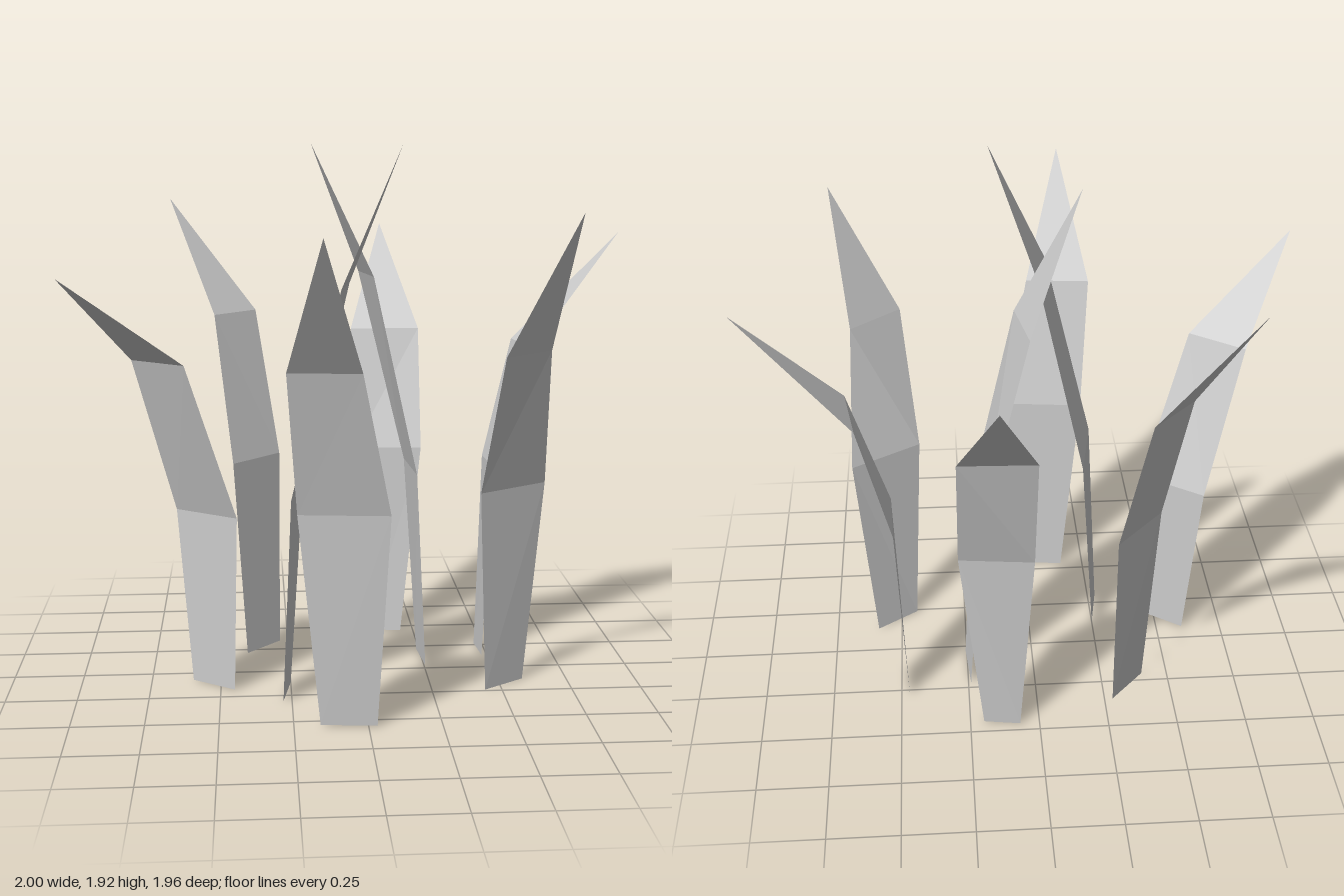
import * as THREE from 'three';

const material = new THREE.MeshStandardMaterial({
  color: 0xcccccc, flatShading: true, side: THREE.DoubleSide,
});

// A bent leaf: two edges rise through base, belly and shoulder, then meet in a tip.
// Each station is [x, z of one edge, x, z of the other edge] at the matching height.
function blade(heights, base, belly, shoulder, tip) {
  const position = [];
  [base, belly, shoulder].forEach(([ax, az, bx, bz], i) => {
    const y = heights[i];
    position.push(ax, y, az, bx, y, bz);
  });
  position.push(tip[0], heights[3], tip[1]);

  const index = [];
  for (let i = 0; i < 2; i++) {
    const a = i * 2;
    index.push(a, a + 1, a + 3, a, a + 3, a + 2);
  }
  index.push(4, 5, 6);

  const geometry = new THREE.BufferGeometry();
  geometry.setAttribute('position', new THREE.Float32BufferAttribute(position, 3));
  geometry.setIndex(index);
  const flat = geometry.toNonIndexed();
  flat.computeVertexNormals();
  return new THREE.Mesh(flat, material);
}

export function createModel() {
  const group = new THREE.Group();
  group.name = 'grassTuft';

  const blades = {
    frontBlade: blade([0, 0.735, 1.22, 1.66],
      [-0.16, 0.535, 0.03, 0.555], [-0.235, 0.57, 0.07, 0.605], [-0.27, 0.69, -0.03, 0.715], [-0.165, 0.98]),
    backBlade: blade([0, 0.735, 1.19, 1.58],
      [0.07, -0.465, 0.20, -0.445], [0.02, -0.505, 0.28, -0.475], [0.015, -0.62, 0.28, -0.61], [0.155, -0.98]),
    leftBackBlade: blade([0, 0.735, 1.18, 1.585],
      [0.47, -0.27, 0.48, -0.13], [0.50, -0.325, 0.51, -0.07], [0.61, -0.36, 0.65, -0.10], [0.995, -0.29]),
    leftFrontBlade: blade([0, 0.735, 1.23, 1.705],
      [0.44, 0.24, 0.59, 0.135], [0.405, 0.31, 0.655, 0.15], [0.46, 0.47, 0.64, 0.31], [0.70, 0.51]),
    innerFrontBlade: blade([0, 0.735, 1.45, 1.92],
      [-0.25, 0.12, -0.28, 0.305], [-0.20, 0.085, -0.25, 0.38], [-0.04, 0.18, -0.08, 0.40], [0.13, 0.315]),
    innerBackBlade: blade([0, 0.735, 1.45, 1.92],
      [0.24, -0.22, 0.255, -0.03], [0.195, -0.285, 0.215, 0.015], [0.02, -0.265, 0.06, -0.025], [-0.16, -0.12]),
    rightBackBlade: blade([0, 0.735, 1.275, 1.70],
      [-0.28, -0.35, -0.405, -0.21], [-0.275, -0.42, -0.45, -0.225], [-0.36, -0.555, -0.515, -0.39], [-0.685, -0.64]),
    rightFrontBlade: blade([0, 0.63, 1.185, 1.50],
      [-0.60, 0.07, -0.45, 0.18], [-0.65, 0.035, -0.435, 0.19], [-0.79, 0.14, -0.605, 0.285], [-1.0, 0.485]),
  };

  for (const [name, mesh] of Object.entries(blades)) {
    mesh.name = name;
    group.add(mesh);
  }
  return group;
}
